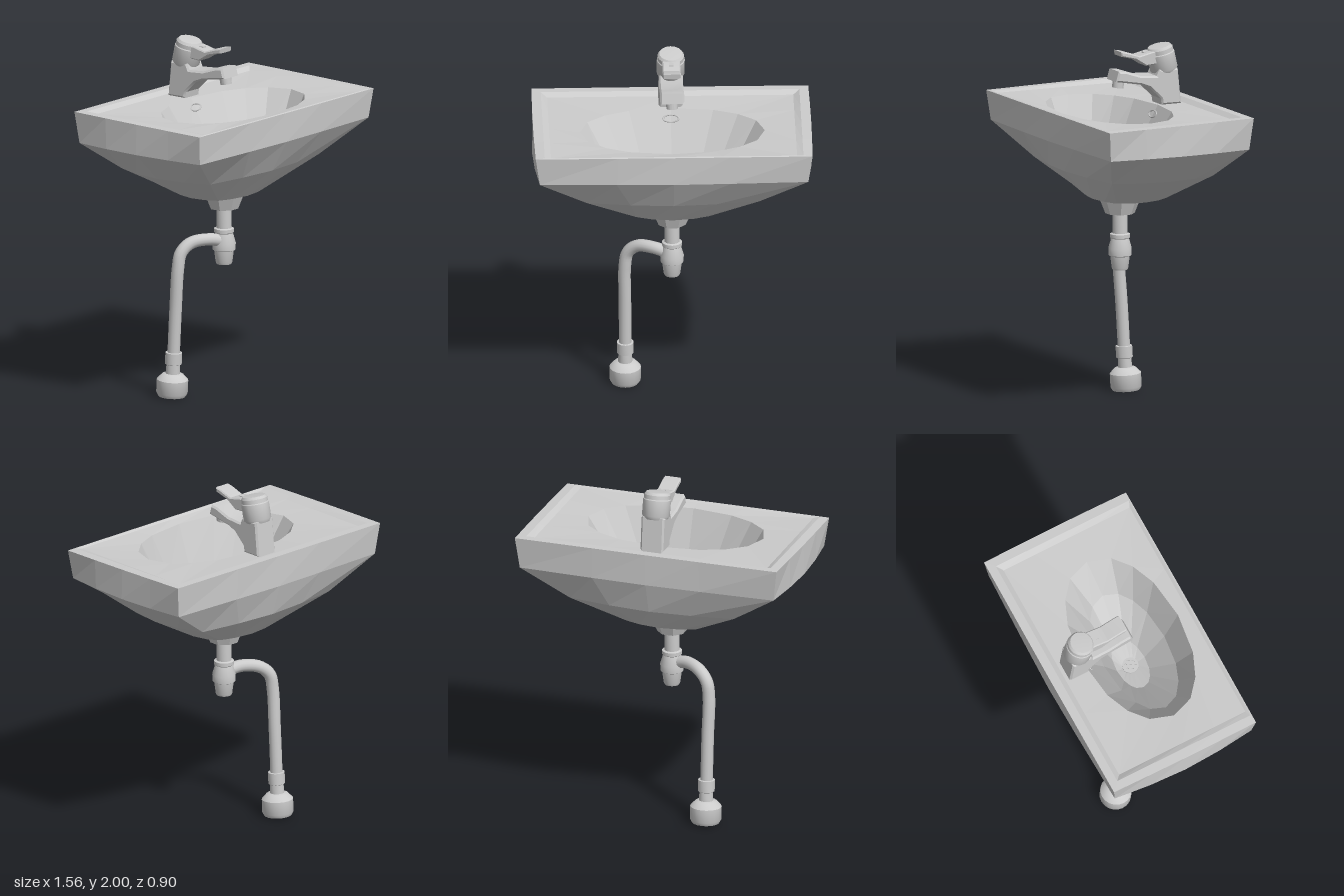
import * as THREE from 'three';
import { toCreasedNormals } from 'three/addons/utils/BufferGeometryUtils.js';

const smooth = new THREE.MeshStandardMaterial({ color: 0xcccccc, side: THREE.DoubleSide });
const faceted = new THREE.MeshStandardMaterial({ color: 0xcccccc, flatShading: true });

function add(parent, name, geometry, material = smooth) {
  const mesh = new THREE.Mesh(geometry, material);
  mesh.name = name;
  parent.add(mesh);
  return mesh;
}

// Turned part from [radius, y] points, with crisp edges
function turned(points, sides = 20) {
  const g = new THREE.LatheGeometry(points.map(p => new THREE.Vector2(...p)), sides);
  return toCreasedNormals(g, 0.6);
}

// Side profile of [z, y] points, extruded to a width across x
function sideProfile(points, width, bevel) {
  const g = new THREE.ExtrudeGeometry(new THREE.Shape(points.map(p => new THREE.Vector2(...p))), {
    depth: width - 2 * bevel, bevelEnabled: true, bevelThickness: bevel,
    bevelSize: bevel, bevelOffset: -bevel, bevelSegments: 1,
  });
  g.translate(0, 0, bevel - width / 2).rotateY(-Math.PI / 2);
  return toCreasedNormals(g, 0.5);
}

// One quarter of a 16-sided ring, as a rectangle and as an ellipse
const SQUARE = [[1, 0], [1, 0.5], [1, 1], [0.4, 1], [0, 1]];
const OVAL = [[1, 0], [0.913, 0.43], [0.72, 0.71], [0.456, 0.9], [0, 1]];

// Ring with half width hx, from zBack to zFront, blended from rectangle to oval
function ring(hx, zBack, zFront, yBack, yFront, roundness) {
  const points = [];
  for (let j = 0; j < 16; j++) {
    const quarter = Math.floor(j / 4);
    const k = quarter % 2 ? 4 - (j % 4) : j % 4;
    const sx = quarter === 1 || quarter === 2 ? -1 : 1;
    const sz = quarter < 2 ? 1 : -1;
    const [u, v] = [0, 1].map(i => THREE.MathUtils.lerp(SQUARE[k][i], OVAL[k][i], roundness));
    const t = (1 + sz * v) / 2;
    points.push([sx * u * hx, yBack + (yFront - yBack) * t, zBack + (zFront - zBack) * t]);
  }
  return points;
}

function loft(rings) {
  const index = [];
  for (let i = 0; i < rings.length - 1; i++) {
    for (let j = 0; j < 16; j++) {
      const a = i * 16 + j, b = i * 16 + (j + 1) % 16;
      index.push(a, a + 16, b, b, a + 16, b + 16);
    }
  }
  const g = new THREE.BufferGeometry();
  g.setAttribute('position', new THREE.Float32BufferAttribute(rings.flat(2), 3));
  g.setIndex(index);
  g.computeVertexNormals();
  return g;
}

function createBasin() {
  const basin = new THREE.Group();
  basin.name = 'basin';
  // Underside, outer wall, raised rim, deck and bowl as one skin
  add(basin, 'basinShell', loft([
    ring(0.06, -0.06, 0.06, 1.15, 1.15, 1),
    ring(0.26, -0.23, 0.17, 1.16, 1.15, 0.8),
    ring(0.56, -0.395, 0.345, 1.32, 1.32, 0.5),
    ring(0.78, -0.45, 0.45, 1.5, 1.5, 0.15),
    ring(0.775, -0.45, 0.45, 1.68, 1.665, 0.02),
    ring(0.72, -0.4, 0.44, 1.68, 1.668, 0),
    ring(0.685, -0.37, 0.425, 1.66, 1.66, 0),
    ring(0.515, -0.235, 0.365, 1.65, 1.65, 1),
    ring(0.375, -0.1, 0.28, 1.41, 1.41, 1),
    ring(0.155, -0.02, 0.155, 1.235, 1.235, 1),
    ring(0.045, 0.02, 0.11, 1.21, 1.21, 1),
  ]), faceted);

  // Perforated waste grate
  const grate = new THREE.Shape().absarc(0, 0, 0.046, 0, Math.PI * 2);
  for (let i = 0; i < 7; i++) {
    const a = i * Math.PI / 3, r = i < 6 ? 0.027 : 0;
    grate.holes.push(new THREE.Path().absarc(r * Math.cos(a), r * Math.sin(a), 0.008, 0, Math.PI * 2, true));
  }
  const grateGeometry = new THREE.ExtrudeGeometry(grate, { depth: 0.008, bevelEnabled: false, curveSegments: 8 });
  grateGeometry.rotateX(-Math.PI / 2);
  add(basin, 'drainGrate', grateGeometry).position.set(0, 1.21, 0.065);

  // Overflow slot in the back wall of the bowl
  const slot = new THREE.TorusGeometry(0.04, 0.007, 6, 20);
  slot.scale(1.1, 0.5, 1);
  const overflow = add(basin, 'overflowSlot', slot);
  overflow.position.set(0, 1.6, -0.205);
  overflow.rotation.x = -0.53;
  return basin;
}

function createFaucet() {
  const faucet = new THREE.Group();
  faucet.name = 'faucet';
  add(faucet, 'faucetBody', sideProfile([
    [-0.35, 1.66], [-0.23, 1.66], [-0.225, 1.695], [-0.154, 1.762], [-0.1, 1.783], [-0.005, 1.8],
    [0.053, 1.81], [0.037, 1.868], [-0.01, 1.862], [-0.1, 1.832], [-0.2, 1.825], [-0.215, 1.86], [-0.33, 1.86],
  ], 0.135, 0.01));
  const aerator = add(faucet, 'aerator', turned([[0, -0.02], [0.032, -0.02], [0.034, 0.03]]));
  aerator.position.set(0, 1.786, 0.012);
  aerator.rotation.x = -0.15;

  // Tilted mixer cap
  const cap = add(faucet, 'mixerCap', turned([
    [0, -0.01], [0.066, -0.01], [0.078, 0.01], [0.078, 0.1], [0.074, 0.105], [0.074, 0.128], [0.064, 0.142], [0, 0.146],
  ], 24));
  cap.position.set(0, 1.845, -0.275);
  cap.rotation.x = 0.23;

  add(faucet, 'lever', sideProfile([
    [-0.22, 1.89], [-0.14, 1.884], [-0.075, 1.925], [0.012, 1.947], [0.016, 1.974],
    [-0.02, 1.968], [-0.1, 1.942], [-0.18, 1.96], [-0.22, 1.96],
  ], 0.1, 0.006));
  add(faucet, 'temperatureMark', new THREE.BoxGeometry(0.025, 0.008, 0.03)).position.set(0, 1.954, -0.155);
  return faucet;
}

function createDrain() {
  const drain = new THREE.Group();
  drain.name = 'drain';
  const outlet = new THREE.CylinderGeometry(0.122, 0.082, 0.1, 8);
  outlet.rotateY(Math.PI / 8);
  add(drain, 'basinOutlet', outlet, faceted).position.y = 1.107;
  // Tailpiece, collar and bottle trap
  add(drain, 'bottleTrap', turned([
    [0, 0.738], [0.042, 0.738], [0.047, 0.75], [0.055, 0.815], [0.064, 0.82], [0.066, 0.86], [0.05, 0.915],
    [0.056, 0.92], [0.056, 0.94], [0.043, 0.945], [0.043, 1.07],
  ]));
  const path = new THREE.CatmullRomCurve3([
    [-0.02, 0.872, 0], [-0.1, 0.89, -0.03], [-0.19, 0.877, -0.085], [-0.243, 0.825, -0.112],
    [-0.259, 0.74, -0.12], [-0.258, 0.5, -0.138], [-0.256, 0.12, -0.16],
  ].map(p => new THREE.Vector3(...p)), false, 'centripetal');
  add(drain, 'wastePipe', new THREE.TubeGeometry(path, 48, 0.035, 14));
  // Connector and floor cup at the foot of the pipe
  const foot = add(drain, 'floorConnector', turned([
    [0, 0], [0.077, 0], [0.088, 0.02], [0.088, 0.095], [0.06, 0.125], [0.04, 0.13], [0.038, 0.18],
    [0.047, 0.185], [0.047, 0.25], [0.036, 0.252],
  ]));
  foot.position.set(-0.256, 0.005, -0.167);
  foot.rotation.x = 0.06;
  return drain;
}

export function createModel() {
  const model = new THREE.Group();
  model.name = 'washbasin';
  model.add(createBasin(), createFaucet(), createDrain());
  return model;
}
